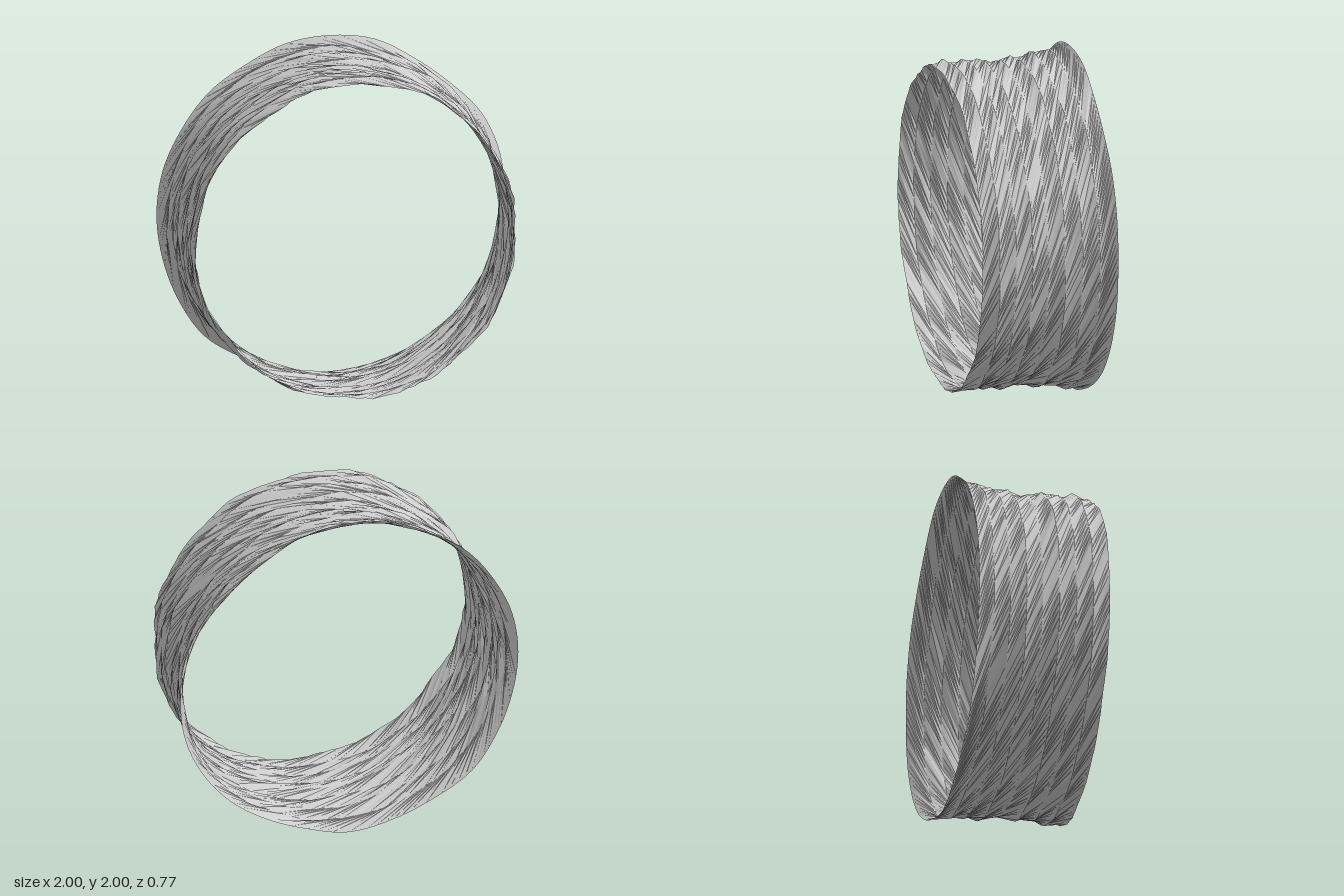
import * as THREE from 'three';

// Small seeded generator for the hand-made roughness
function seeded(seed) {
  return () => {
    seed = (seed * 16807) % 2147483647;
    return seed / 2147483647;
  };
}

// Uneven flared back edge: its radius at every 15 degrees, starting from +x
const flare = [
  1.0, 1.01, 1.003, 0.972, 0.97, 0.998, 1.0, 0.998, 0.982, 0.99, 0.988, 0.998,
  1.0, 1.0, 1.01, 1.025, 1.0, 0.995, 1.0, 0.97, 0.967, 0.98, 0.99, 1.0,
];

export function createModel() {
  const group = new THREE.Group();
  group.name = 'twistedRing';

  const grey = new THREE.MeshStandardMaterial({ color: 0xcccccc, side: THREE.DoubleSide });
  grey.name = 'grey';

  // Mean radius of each ring in front of the flared edge, from back to front
  const radii = [0.956, 0.94, 0.933, 0.917, 0.93, 0.927, 0.935, 0.92];
  const bands = radii.length;
  const segments = 120;
  const depth = 0.77;
  const rand = seeded(4711);
  const points = [];

  // Back edge: a smooth closed curve
  const edge = new THREE.CatmullRomCurve3(flare.map((r, k) => {
    const t = (k / flare.length) * Math.PI * 2;
    return new THREE.Vector3(r * Math.cos(t), 1 + r * Math.sin(t), -depth / 2);
  }), true, 'catmullrom');
  for (let i = 0; i < segments; i++) points.push(...edge.getPoint(i / segments).toArray());

  // Other rings: broad waves plus fine ruffles, each turned against the one behind it
  radii.forEach((radius, j) => {
    const phase = [rand(), rand(), rand()].map(v => v * Math.PI * 2);
    const z = -depth / 2 + (depth * (j + 1)) / bands;
    for (let i = 0; i < segments; i++) {
      const t = (i / segments) * Math.PI * 2;
      const wave = 0.006 * Math.sin(3 * t + phase[0]) + 0.006 * Math.sin(8 * t + phase[1])
        + 0.005 * Math.sin(15 * t + phase[2]);
      const r = radius + wave + (rand() - 0.5) * 0.011;
      const a = t - 0.36 - 0.3 * j + (rand() - 0.5) * 0.02;
      points.push(r * Math.cos(a), 1 + r * Math.sin(a), z);
    }
  });

  // Bands of slanted triangles between neighbouring rings
  const faces = [];
  for (let j = 0; j < bands; j++) {
    for (let i = 0; i < segments; i++) {
      const a = j * segments + i, b = j * segments + (i + 1) % segments;
      const c = a + segments, d = b + segments;
      faces.push(a, b, d, a, d, c);
    }
  }

  const indexed = new THREE.BufferGeometry();
  indexed.setAttribute('position', new THREE.Float32BufferAttribute(points, 3));
  indexed.setIndex(faces);
  const geometry = indexed.toNonIndexed();
  geometry.computeVertexNormals();

  const wall = new THREE.Mesh(geometry, grey);
  wall.name = 'ringWall';
  group.add(wall);
  return group;
}
